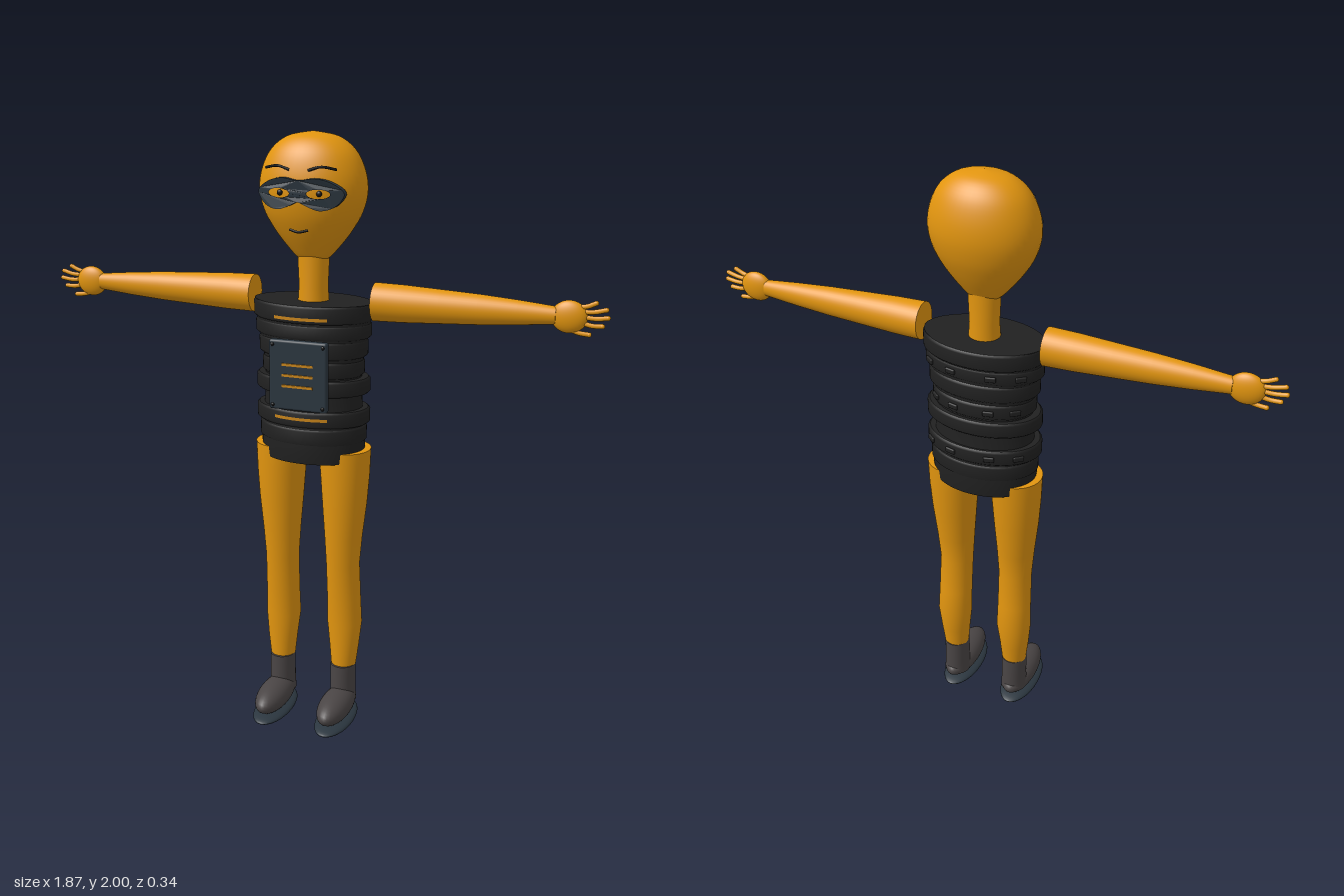
import * as THREE from 'three';
import { RoundedBoxGeometry } from 'three/addons/geometries/RoundedBoxGeometry.js';

const CZ = -0.042; // depth of the body's centre line

const mat = (name, color, side = THREE.FrontSide) => {
  const m = new THREE.MeshStandardMaterial({ color, side });
  m.name = name;
  return m;
};

// Closed loft through ellipses [y, rx, rz, cx, cz], listed from bottom to top
function loft(sections, seg = 40) {
  const pos = [], idx = [], n = sections.length;
  const ring = ([y, rx, rz, cx = 0, cz = CZ]) => {
    for (let j = 0; j < seg; j++) {
      const a = (j / seg) * Math.PI * 2;
      pos.push(cx + rx * Math.cos(a), y, cz + rz * Math.sin(a));
    }
  };
  sections.forEach(ring);
  for (let i = 0; i < n - 1; i++) for (let j = 0; j < seg; j++) {
    const a = i * seg + j, b = i * seg + (j + 1) % seg;
    idx.push(a, a + seg, b, b, a + seg, b + seg);
  }
  // Caps have their own rings so that the rims stay sharp
  [[sections[0], false], [sections[n - 1], true]].forEach(([s, top]) => {
    const start = pos.length / 3;
    ring(s);
    pos.push(s[3] ?? 0, s[0], s[4] ?? CZ);
    for (let j = 0; j < seg; j++) {
      const a = start + j, b = start + (j + 1) % seg;
      idx.push(start + seg, ...(top ? [b, a] : [a, b]));
    }
  });
  const g = new THREE.BufferGeometry();
  g.setAttribute('position', new THREE.Float32BufferAttribute(pos, 3));
  g.setIndex(idx);
  g.computeVertexNormals();
  return g;
}

const ellipsoid = (rx, ry, rz) => new THREE.SphereGeometry(1, 32, 20).scale(rx, ry, rz);

const tube = (points, r) => new THREE.TubeGeometry(
  new THREE.CatmullRomCurve3(points.map(p => new THREE.Vector3(...p))), 16, r, 8);

// Thin strip following the front of an elliptical band
const arcStrip = (rx, rz, h, half) =>
  new THREE.CylinderGeometry(1, 1, h, 20, 1, true, -half, half * 2).scale(rx, 1, rz);

// Domino mask with eye holes, bent around the face
function maskGeometry() {
  const half = [[0, 1.862], [0.05, 1.869], [0.1, 1.858], [0.14, 1.825], [0.115, 1.787], [0.07, 1.773], [0.03, 1.785], [0, 1.797]];
  const pts = [...half, ...half.slice(1, -1).reverse().map(([x, y]) => [-x, y])];
  const curve = new THREE.CatmullRomCurve3(pts.map(([x, y]) => new THREE.Vector3(x, y, 0)), true);
  const shape = new THREE.Shape(curve.getPoints(72).slice(0, -1).map(p => new THREE.Vector2(p.x, p.y)));
  for (const s of [1, -1]) {
    const hole = new THREE.Path();
    hole.absellipse(s * 0.064, 1.823, 0.036, 0.014, 0, Math.PI * 2, true);
    shape.holes.push(hole);
  }
  const g = new THREE.ExtrudeGeometry(shape, { depth: 0.022, bevelEnabled: false, curveSegments: 20 });
  const p = g.attributes.position;
  for (let i = 0; i < p.count; i++) p.setZ(i, p.getZ(i) + 0.076 - 1.5 * p.getX(i) ** 2);
  g.computeVertexNormals();
  return g;
}

export function createModel() {
  const root = new THREE.Group();
  root.name = 'figure';
  const skin = mat('orange', 0xe2950f);
  const orangeTrim = mat('orange trim', 0xc9851a, THREE.DoubleSide);
  const black = mat('vest black', 0x212121);
  const dark = mat('ink', 0x141414);
  const slate = mat('slate', 0x2b363f);
  const boot = mat('boot grey', 0x4a4545);

  const add = (name, geo, material, x = 0, y = 0, z = 0, parent = root) => {
    const m = new THREE.Mesh(geo, material);
    m.name = name;
    m.position.set(x, y, z);
    parent.add(m);
    return m;
  };

  // Egg-shaped head and neck
  const profile = new THREE.SplineCurve([
    [0, 1.598], [0.045, 1.606], [0.085, 1.645], [0.128, 1.7], [0.16, 1.757], [0.175, 1.82],
    [0.166, 1.885], [0.135, 1.945], [0.08, 1.985], [0, 2],
  ].map(p => new THREE.Vector2(...p)));
  const headPts = profile.getPoints(44).map(p => new THREE.Vector2(Math.max(p.x, 0), p.y));
  add('head', new THREE.LatheGeometry(headPts, 48).scale(1, 1, 0.72), skin, 0, 0, CZ + 0.002);
  add('neck', loft([[1.43, 0.053, 0.05], [1.52, 0.047, 0.045], [1.63, 0.052, 0.047]]), skin);

  // Face
  add('mask', maskGeometry(), slate);
  for (const s of [1, -1]) {
    add('pupil', ellipsoid(0.009, 0.009, 0.006), dark, s * 0.064, 1.823, 0.082);
    add('eyebrow', tube([[s * 0.03, 1.892, 0.086], [s * 0.07, 1.903, 0.083], [s * 0.115, 1.895, 0.066]], 0.004), dark);
  }
  add('mouth', tube([[-0.03, 1.713, 0.086], [0, 1.707, 0.092], [0.03, 1.713, 0.086]], 0.004), dark);

  // Padded vest
  add('vest', loft([
    [0.955, 0.172, 0.12], [1.0, 0.176, 0.124], [1.06, 0.177, 0.122], [1.13, 0.166, 0.115], [1.2, 0.163, 0.108],
    [1.27, 0.164, 0.108], [1.33, 0.176, 0.11], [1.4, 0.19, 0.112], [1.475, 0.198, 0.118],
  ], 56), black);
  const bands = [
    ['shoulderBand', 1.447, 0.028, 0.2, 0.13],
    ['chestPad', 1.388, 0.024, 0.195, 0.116], ['chestPad', 1.33, 0.028, 0.183, 0.118], ['ribPad', 1.265, 0.026, 0.172, 0.116],
    ['upperBelt', 1.207, 0.026, 0.192, 0.126], ['lowerBelt', 1.105, 0.026, 0.192, 0.128],
    ['hipPad', 1.045, 0.028, 0.181, 0.126],
  ];
  for (const [name, y, h, rx, rz] of bands) {
    const b = 0.007;
    add(name, loft([
      [y - h, rx - b, rz - b], [y - h + b, rx, rz], [y + h - b, rx, rz], [y + h, rx - b, rz - b],
    ], 56), black);
  }
  // Webbing loops around the back and sides
  for (const [y, rx, rz] of [[1.388, 0.195, 0.116], [1.265, 0.172, 0.116], [1.105, 0.192, 0.128]]) {
    for (const a of [-0.9, -0.35, 0.35, 0.9]) {
      const loop = add('webbingLoop', new RoundedBoxGeometry(0.035, 0.018, 0.012, 2, 0.004), black,
        rx * Math.sin(a), y, CZ - rz * Math.cos(a));
      loop.rotation.y = -Math.atan2(rz * Math.sin(a), rx * Math.cos(a));
    }
  }
  add('upperTrim', arcStrip(0.202, 0.132, 0.01, 0.46), orangeTrim, 0, 1.435, CZ);
  add('lowerTrim', arcStrip(0.194, 0.13, 0.01, 0.48), orangeTrim, 0, 1.108, CZ);

  // Chest panel with stripes and corner studs
  add('chestPanel', new RoundedBoxGeometry(0.196, 0.228, 0.026, 3, 0.008), slate, 0, 1.254, 0.09);
  for (const y of [1.29, 1.255, 1.22])
    add('panelStripe', new THREE.BoxGeometry(0.104, 0.008, 0.006), orangeTrim, 0, y, 0.104);
  for (const x of [-0.085, 0.085]) for (const y of [1.155, 1.353])
    add('panelStud', ellipsoid(0.006, 0.006, 0.004), dark, x, y, 0.103);

  for (const s of [1, -1]) {
    const side = s > 0 ? 'left' : 'right';

    // Arm, held straight out
    const arm = loft([
      [0.205, 0.061, 0.058], [0.3, 0.059, 0.055], [0.42, 0.053, 0.048], [0.54, 0.047, 0.041],
      [0.66, 0.038, 0.032], [0.775, 0.027, 0.022],
    ].map(r => [...r, 0, 0])).rotateZ(-s * Math.PI / 2);
    add(side + 'Arm', arm, skin, 0, 1.481, -0.046);

    // Hand
    const hand = new THREE.Group();
    hand.name = side + 'Hand';
    root.add(hand);
    add('palm', ellipsoid(0.055, 0.05, 0.024), skin, s * 0.813, 1.48, -0.046, hand);
    const fingers = [
      [0.84, 1.51, 0.89, 1.526], [0.855, 1.497, 0.921, 1.508], [0.86, 1.481, 0.927, 1.484],
      [0.853, 1.463, 0.912, 1.458], [0.815, 1.442, 0.875, 1.43],
    ];
    for (const [x0, y0, x1, y1] of fingers) {
      const xm = (x0 + x1) / 2, ym = (y0 + y1) / 2 - 0.003;
      add('finger', tube([[s * x0, y0, -0.046], [s * xm, ym, -0.044], [s * x1, y1, -0.044]], 0.0075), skin, 0, 0, 0, hand);
      add('fingertip', ellipsoid(0.0078, 0.0075, 0.0075), skin, s * x1, y1, -0.044, hand);
    }

    // Leg
    add(side + 'Leg', loft([
      [0.18, 0.041, 0.042, 0.113, -0.042], [0.27, 0.051, 0.049, 0.114, -0.046], [0.355, 0.06, 0.056, 0.113, -0.051],
      [0.45, 0.058, 0.053, 0.112, -0.045], [0.58, 0.057, 0.055, 0.11, -0.035], [0.68, 0.064, 0.064, 0.111, -0.036],
      [0.8, 0.075, 0.076, 0.113, -0.039], [0.9, 0.082, 0.083, 0.113, -0.041], [0.99, 0.087, 0.087, 0.111, -0.042],
    ].map(([y, rx, rz, cx, cz]) => [y, rx, rz, s * cx, cz])), skin);

    // Boot
    add(side + 'BootShaft', loft([
      [0.06, 0.046, 0.05], [0.11, 0.043, 0.05], [0.2, 0.043, 0.049],
    ].map(r => [...r, s * 0.113, -0.04])), boot);
    add(side + 'Foot', ellipsoid(0.055, 0.048, 0.132), boot, s * 0.114, 0.071, 0.032);
    add(side + 'Sole', ellipsoid(0.063, 0.018, 0.138), slate, s * 0.114, 0.02, 0.033);
  }

  // Stand the figure on the ground
  const box = new THREE.Box3().setFromObject(root);
  root.children.forEach(c => { c.position.y -= box.min.y; });
  return root;
}
